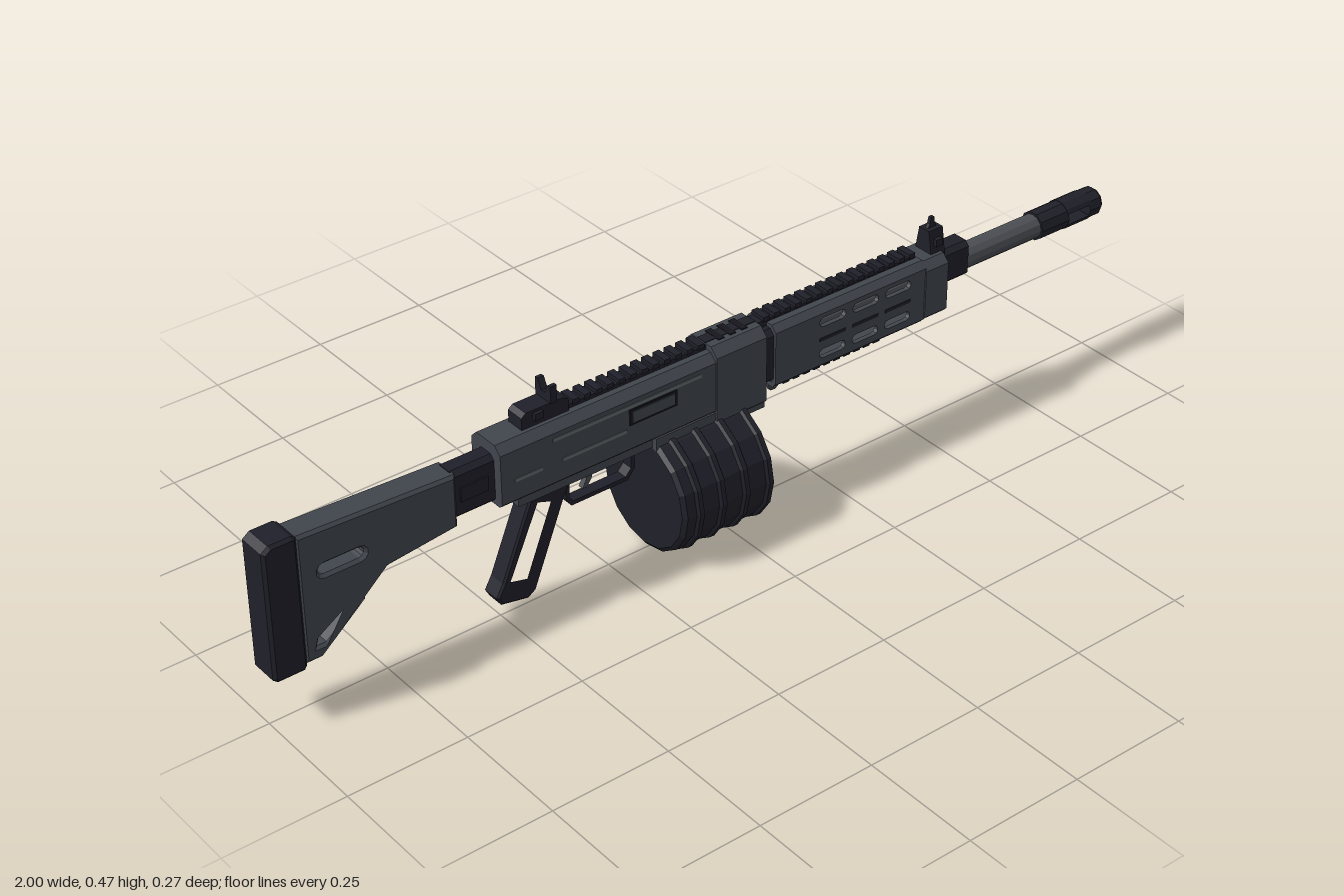
import * as THREE from 'three';

const colour = (name, hex) => {
  const m = new THREE.MeshStandardMaterial({ color: hex });
  m.name = name;
  m.flatShading = true;
  return m;
};

export function createModel() {
  const grey = colour('gunmetal', 0x41464d);
  const steel = colour('barrel steel', 0x4b4e53);
  const dark = colour('dark polymer', 0x20202a);
  const black = colour('recess black', 0x16161d);
  const pale = colour('groove grey', 0x646b70);
  const blue = colour('blue accent', 0x2f55a8);
  const cyan = colour('cyan accent', 0x35b3bf);
  const root = new THREE.Group();
  const AXIS = 0.347; // barrel height

  const add = (name, geo, mat, x = 0, y = 0, z = 0) => {
    const m = new THREE.Mesh(geo, mat);
    m.name = name;
    m.position.set(x, y, z);
    root.add(m);
    return m;
  };
  // Box given by its extents in x and y, with half width and centre in z
  const box = (name, mat, x0, x1, y0, y1, hw, z = 0) =>
    add(name, new THREE.BoxGeometry(x1 - x0, y1 - y0, hw * 2), mat, (x0 + x1) / 2, (y0 + y1) / 2, z);
  const poly = (pts) => new THREE.Shape(pts.map((p) => new THREE.Vector2(p[0], p[1])));
  // Rounded slot outline
  const slot = (cx, cy, w, h, angle = 0) => {
    const pts = [], r = h / 2, l = w / 2 - r, c = Math.cos(angle), s = Math.sin(angle);
    for (let i = 0; i < 12; i++) {
      const a = -Math.PI / 2 + (Math.floor(i / 6) + (i % 6) / 5) * Math.PI;
      const px = (i < 6 ? l : -l) + r * Math.cos(a), py = r * Math.sin(a);
      pts.push([cx + px * c - py * s, cy + px * s + py * c]);
    }
    return pts;
  };
  // Side profile with holes, extruded across the width
  const plate = (name, mat, pts, hw, z = 0, holes = [], bevel = 0) => {
    const shape = poly(pts);
    holes.forEach((h) => shape.holes.push(poly(h)));
    const geo = new THREE.ExtrudeGeometry(shape, {
      depth: 2 * (hw - bevel), bevelEnabled: bevel > 0, bevelSize: bevel,
      bevelThickness: bevel, bevelOffset: -bevel, bevelSegments: 1,
    });
    return add(name, geo, mat, 0, 0, z - hw + bevel);
  };
  // Cross-section in (z, y), extruded along x
  const prism = (name, mat, pts, x0, x1) => {
    const geo = new THREE.ExtrudeGeometry(poly(pts), { depth: x1 - x0, bevelEnabled: false });
    geo.rotateY(Math.PI / 2);
    return add(name, geo, mat, x0);
  };
  const chamfered = (hw, y0, y1, c, b = 0.008) => [[-hw + b, y0], [hw - b, y0], [hw, y0 + b],
    [hw, y1 - c], [hw - c, y1], [-hw + c, y1], [-hw, y1 - c], [-hw, y0 + b]];
  const rod = (name, mat, x0, x1, r, y = AXIS, sides = 12, r2 = r) => {
    const geo = new THREE.CylinderGeometry(r2, r, x1 - x0, sides);
    geo.rotateZ(-Math.PI / 2);
    return add(name, geo, mat, (x0 + x1) / 2, y, 0);
  };

  // Stock
  plate('buttPad', dark, [[-1, 0.115], [-0.99, 0.107], [-0.935, 0.107], [-0.93, 0.115],
    [-0.93, 0.39], [-0.94, 0.396], [-0.985, 0.396], [-1, 0.385]], 0.035, 0, [], 0.006);
  plate('stock', grey, [[-0.932, 0.115], [-0.895, 0.115], [-0.75, 0.245], [-0.6, 0.262],
    [-0.6, 0.374], [-0.932, 0.388]], 0.03, 0,
  [slot(-0.843, 0.298, 0.095, 0.022), [[-0.905, 0.142], [-0.885, 0.142], [-0.812, 0.2], [-0.826, 0.206], [-0.9, 0.158]]], 0.006);
  prism('stockNeck', dark, chamfered(0.024, 0.275, 0.376, 0.01), -0.605, -0.512);
  for (const s of [-1, 1]) box('neckRib', dark, -0.59, -0.53, 0.31, 0.34, 0.002, s * 0.025);

  // Receiver
  prism('receiver', grey, chamfered(0.044, 0.27, 0.4, 0.016), -0.515, -0.02);
  prism('receiverFront', grey, chamfered(0.047, 0.245, 0.412, 0.018), -0.025, 0.095);
  prism('receiverCollar', dark, chamfered(0.038, 0.28, 0.395, 0.012), 0.09, 0.125);
  box('lowerReceiver', grey, -0.47, -0.02, 0.248, 0.275, 0.03);
  box('magazineWell', grey, -0.165, 0.095, 0.236, 0.272, 0.042);
  box('wellRecess', black, 0.094, 0.098, 0.247, 0.266, 0.014);
  for (let i = 0; i < 3; i++) box('topVent', black, 0.0 + i * 0.028, 0.014 + i * 0.028, 0.411, 0.414, 0.02);

  // Receiver side details
  box('longGroove', pale, -0.4, -0.06, 0.367, 0.374, 0.002, 0.0435);
  box('shortGroove', pale, -0.485, -0.425, 0.317, 0.324, 0.002, 0.0435);
  box('middleGroove', pale, -0.38, -0.235, 0.317, 0.324, 0.002, 0.0435);
  box('ejectionFrame', black, -0.228, -0.118, 0.33, 0.364, 0.002, 0.044);
  box('ejectionCover', grey, -0.222, -0.124, 0.335, 0.359, 0.003, 0.045);
  box('backGroove', black, -0.46, -0.22, 0.367, 0.374, 0.002, -0.0435);
  box('chargingSlot', black, -0.19, -0.03, 0.294, 0.312, 0.002, -0.0435);
  box('upperLightStrip', cyan, -0.2, -0.12, 0.345, 0.353, 0.002, -0.044);
  box('lowerLightStrip', cyan, -0.3, -0.22, 0.317, 0.325, 0.002, -0.044);
  box('selector', blue, -0.43, -0.39, 0.287, 0.304, 0.004, -0.046);
  const stem = add('chargingStem', new THREE.CylinderGeometry(0.006, 0.006, 0.03, 8), grey, -0.05, 0.303, -0.05);
  const knob = add('chargingKnob', new THREE.CylinderGeometry(0.016, 0.016, 0.012, 10), blue, -0.05, 0.303, -0.064);
  stem.rotation.x = knob.rotation.x = Math.PI / 2;

  // Handguard: slotted sides, roof and floor
  const holes = [];
  for (let i = 0; i < 3; i++) {
    for (const y of [0.37, 0.3]) holes.push(slot(0.262 + i * 0.083, y, 0.066, 0.02));
  }
  for (const s of [-1, 1]) {
    plate('handguardSide', grey, [[0.12, 0.275], [0.5, 0.275], [0.5, 0.388], [0.12, 0.388]], 0.005, s * 0.038, holes);
    for (let i = 0; i < 3; i++) {
      box('handguardGroove', dark, 0.229 + i * 0.083, 0.295 + i * 0.083, 0.329, 0.336, 0.001, s * 0.0432);
    }
  }
  prism('handguardRoof', grey, [[-0.043, 0.386], [0.043, 0.386], [0.043, 0.39], [0.03, 0.403], [-0.03, 0.403], [-0.043, 0.39]], 0.12, 0.5);
  prism('handguardFloor', grey, [[-0.034, 0.266], [0.034, 0.266], [0.043, 0.277], [-0.043, 0.277]], 0.12, 0.5);
  prism('handguardCap', grey, chamfered(0.046, 0.272, 0.4, 0.016), 0.498, 0.556);

  // Barrel, gas block and muzzle
  rod('barrel', steel, 0.12, 0.84, 0.026);
  prism('gasBlock', dark, chamfered(0.026, 0.318, 0.395, 0.01), 0.55, 0.628);
  rod('muzzleRear', dark, 0.828, 0.903, 0.031, AXIS, 10);
  rod('muzzleFront', dark, 0.962, 0.993, 0.031, AXIS, 10);
  rod('muzzleTip', dark, 0.993, 1, 0.031, AXIS, 10, 0.026);
  rod('bore', black, 0.999, 1.001, 0.014);
  for (const s of [-1, 1]) {
    prism('muzzleBridge', dark, [[-0.028, 0.012], [0.028, 0.012], [0.024, 0.021], [0.01, 0.0305], [-0.01, 0.0305], [-0.024, 0.021]]
      .map(([z, y]) => [z, AXIS + s * y]), 0.9, 0.965);
  }

  // Top and bottom rails
  box('topRail', dark, -0.34, 0.495, 0.395, 0.409, 0.015);
  for (let i = 0; i < 32; i++) {
    const x = -0.335 + i * 0.0262;
    if (x < -0.03 || x > 0.085) box('topRailTooth', dark, x, x + 0.015, 0.407, 0.417, 0.018);
  }
  box('railBridge', dark, -0.025, 0.095, 0.408, 0.4135, 0.012);
  box('bottomRail', dark, 0.155, 0.415, 0.258, 0.268, 0.016);
  for (let i = 0; i < 10; i++) box('bottomRailTooth', dark, 0.16 + i * 0.0255, 0.176 + i * 0.0255, 0.25, 0.26, 0.019);
  const loop = add('slingLoop', new THREE.TorusGeometry(0.012, 0.004, 6, 10), steel, 0.15, 0.25, 0);
  loop.scale.y = 1.2;

  // Sights
  prism('frontSightBase', dark, [[-0.024, 0.39], [0.024, 0.39], [0.014, 0.448], [-0.014, 0.448]], 0.53, 0.566);
  plate('frontSightPost', dark, [[0.532, 0.44], [0.562, 0.44], [0.554, 0.456], [0.552, 0.47], [0.544, 0.47], [0.541, 0.456]], 0.004);
  box('frontSightPin', dark, 0.54, 0.556, 0.415, 0.43, 0.026);
  plate('rearSightBase', dark, [[-0.45, 0.4], [-0.345, 0.4], [-0.345, 0.425], [-0.36, 0.433], [-0.44, 0.433], [-0.45, 0.425]], 0.02);
  prism('rearSightNotch', dark, [[-0.023, 0.432], [0.023, 0.432], [0.023, 0.468], [0.015, 0.468], [0.005, 0.448],
    [-0.005, 0.448], [-0.015, 0.468], [-0.023, 0.468]], -0.387, -0.373);
  box('rearSightScrew', dark, -0.425, -0.405, 0.413, 0.427, 0.027);

  // Open frame grip, trigger and guard
  plate('grip', dark, [[-0.437, 0.25], [-0.345, 0.25], [-0.362, 0.215], [-0.432, 0.04], [-0.45, 0.028], [-0.51, 0.04], [-0.52, 0.058], [-0.505, 0.085]],
    0.022, 0, [[[-0.425, 0.238], [-0.388, 0.225], [-0.45, 0.07], [-0.495, 0.082]]], 0.004);
  plate('triggerGuard', dark, [[-0.352, 0.25], [-0.352, 0.2], [-0.34, 0.184], [-0.21, 0.184], [-0.193, 0.205], [-0.193, 0.25]],
    0.012, 0, [[[-0.344, 0.248], [-0.344, 0.203], [-0.336, 0.193], [-0.215, 0.193], [-0.202, 0.208], [-0.202, 0.248]]]);
  plate('trigger', steel, [[-0.31, 0.25], [-0.285, 0.25], [-0.288, 0.222], [-0.3, 0.204], [-0.31, 0.205], [-0.3, 0.224]], 0.006);

  // Ribbed drum magazine
  const profile = [[0, -0.165], [0.118, -0.165], [0.127, -0.158]];
  for (const x of [-0.128, -0.074, -0.018]) {
    profile.push([0.127, x - 0.009], [0.133, x - 0.005], [0.133, x + 0.005], [0.127, x + 0.009]);
  }
  profile.push([0.127, 0.03], [0.133, 0.034], [0.133, 0.044], [0.118, 0.053], [0, 0.053]);
  const drum = new THREE.LatheGeometry(profile.map((p) => new THREE.Vector2(p[0], p[1])), 16);
  drum.rotateZ(-Math.PI / 2);
  add('drum', drum, dark, 0, 0.134, 0);
  rod('drumFace', grey, 0.05, 0.056, 0.102, 0.134, 24);
  rod('hubRim', dark, 0.05, 0.06, 0.033, 0.134, 20);
  rod('hub', grey, 0.05, 0.066, 0.03, 0.134, 20);
  for (let i = 0; i < 3; i++) {
    const geo = new THREE.BoxGeometry(0.006, 0.052, 0.013);
    geo.translate(0, 0.068, 0);
    add('drumSpoke', geo, dark, 0.055, 0.134, 0).rotation.x = (i * Math.PI * 2) / 3;
  }
  return root;
}
